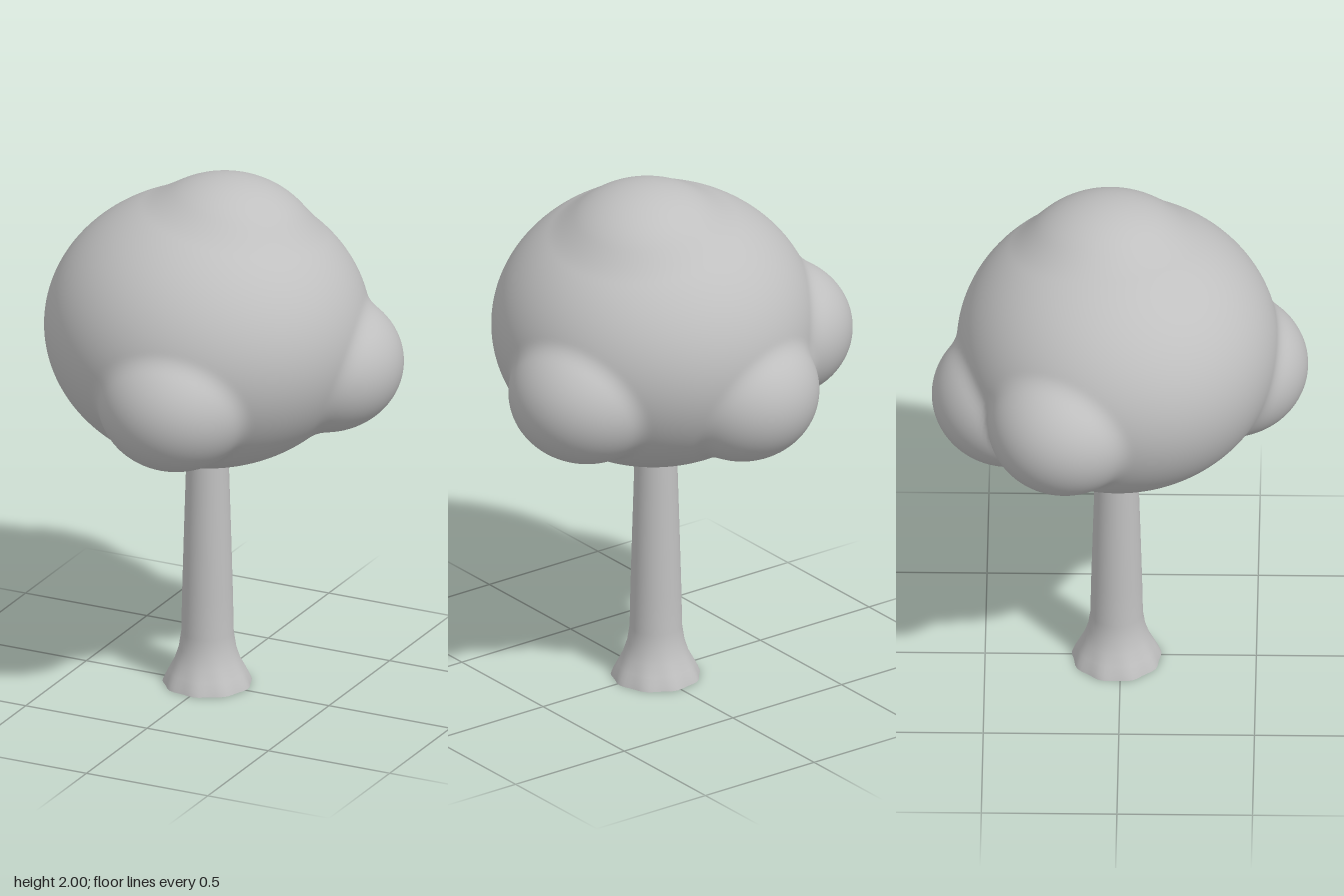
import * as THREE from 'three';
import { mergeVertices } from 'three/addons/utils/BufferGeometryUtils.js';

// Foliage lobes: centre x, y, z and radii x, y, z
const LOBES = [
  [-0.005, 1.42, -0.01, 0.605, 0.52, 0.595], // main crown
  [0.05, 1.66, -0.04, 0.375, 0.34, 0.375], // top
  [0.07, 1.28, 0.4, 0.29, 0.262, 0.29], // front
  [0.41, 1.3, -0.15, 0.29, 0.26, 0.29], // left
  [-0.42, 1.36, -0.2, 0.285, 0.26, 0.285], // right
  [-0.11, 1.265, -0.41, 0.285, 0.262, 0.285], // back
];
const BLEND = 0.025;

// Approximate signed distance to all lobes, joined with a soft crease
function lobeField(p) {
  let d = Infinity;
  for (const [x, y, z, rx, ry, rz] of LOBES) {
    const k = Math.hypot((p.x - x) / rx, (p.y - y) / ry, (p.z - z) / rz);
    const e = (k - 1) * ry;
    if (d === Infinity) { d = e; continue; }
    const h = Math.max(BLEND - Math.abs(d - e), 0) / BLEND;
    d = Math.min(d, e) - h * h * BLEND * 0.25;
  }
  return d;
}

// Sphere whose vertices are pushed out to the blended lobe surface
function foliageGeometry() {
  let geo = new THREE.IcosahedronGeometry(1, 44);
  geo.deleteAttribute('normal');
  geo.deleteAttribute('uv');
  geo = mergeVertices(geo, 1e-5);
  const pos = geo.attributes.position;
  const origin = new THREE.Vector3(0, 1.38, 0);
  const dir = new THREE.Vector3();
  const p = new THREE.Vector3();
  for (let i = 0; i < pos.count; i++) {
    dir.fromBufferAttribute(pos, i).normalize();
    let near = 0.2, far = 1.2;
    for (let s = 0; s < 24; s++) {
      const mid = (near + far) / 2;
      p.copy(origin).addScaledVector(dir, mid);
      if (lobeField(p) < 0) near = mid; else far = mid;
    }
    pos.setXYZ(i, p.x, p.y, p.z);
  }
  geo.computeVertexNormals();
  return geo;
}

// Tapered trunk that flares into gently scalloped roots
function trunkGeometry() {
  const profile = [
    [0.163, 0], [0.156, 0.02], [0.142, 0.05], [0.122, 0.09], [0.106, 0.14],
    [0.097, 0.2], [0.094, 0.35], [0.087, 0.6], [0.078, 0.9], [0.075, 1.05],
  ].map(([r, y]) => new THREE.Vector2(r, y));
  let geo = new THREE.LatheGeometry(profile, 48);
  geo.deleteAttribute('normal');
  geo.deleteAttribute('uv');
  geo = mergeVertices(geo, 1e-5);
  const pos = geo.attributes.position;
  for (let i = 0; i < pos.count; i++) {
    const x = pos.getX(i), y = pos.getY(i), z = pos.getZ(i);
    const fade = Math.max(0, 1 - y / 0.1);
    const k = 1 + 0.025 * fade * Math.cos(9 * Math.atan2(z, x));
    pos.setXYZ(i, x * k, y, z * k);
  }
  geo.computeVertexNormals();
  return geo;
}

export function createModel() {
  const model = new THREE.Group();
  const grey = new THREE.MeshStandardMaterial({ color: 0xc0c0c0 });
  grey.name = 'plain grey';

  const add = (name, geo, x = 0, y = 0, z = 0) => {
    const mesh = new THREE.Mesh(geo, grey);
    mesh.name = name;
    mesh.position.set(x, y, z);
    model.add(mesh);
    return mesh;
  };

  add('foliage', foliageGeometry());
  add('trunk', trunkGeometry(), -0.008, 0, -0.015);

  // Underside of the trunk
  const base = add('trunkBase', new THREE.CircleGeometry(0.161, 48), -0.008, 0.001, -0.015);
  base.rotation.x = Math.PI / 2;
  return model;
}
